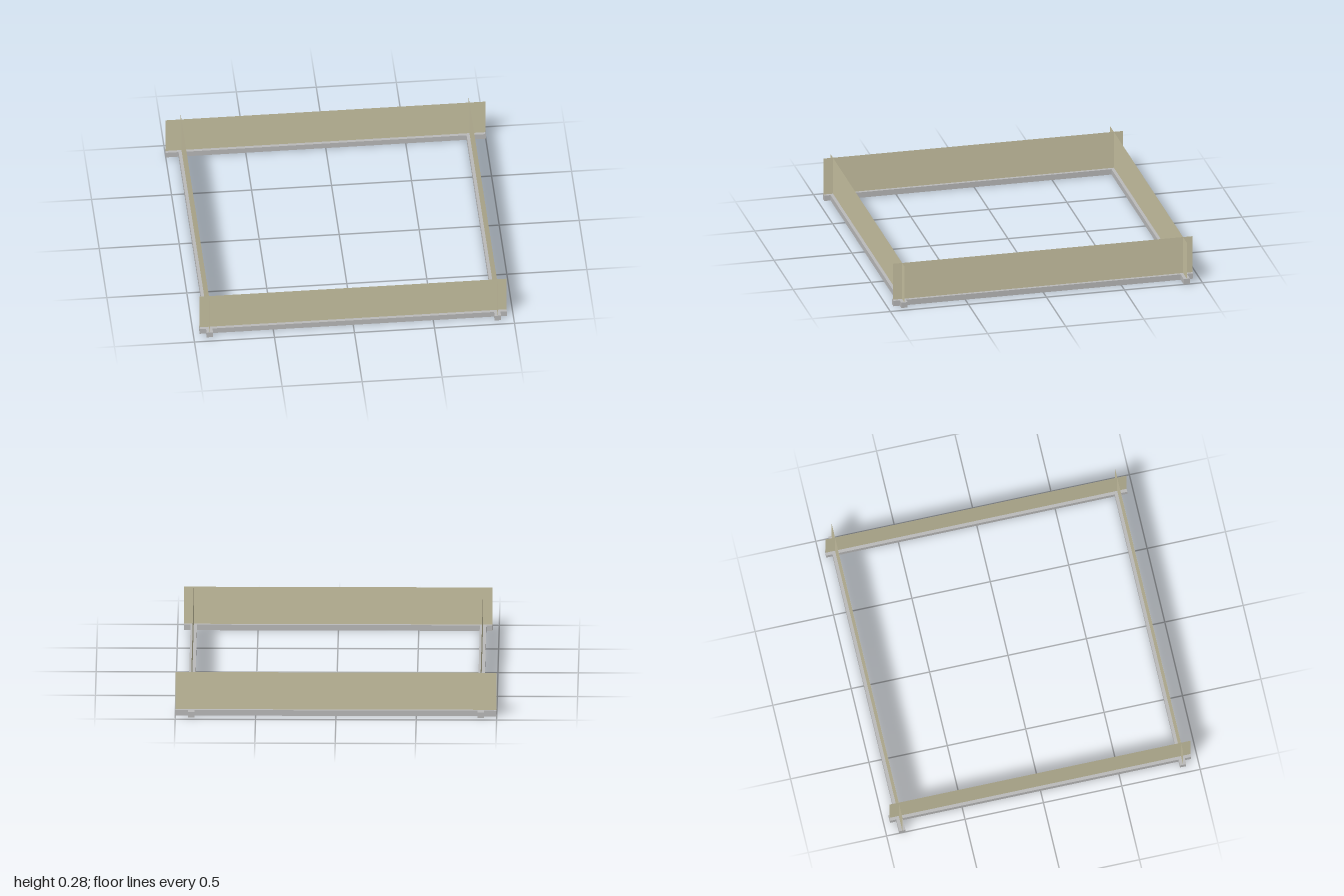
import * as THREE from 'three';

const BAR_W = 0.04, BAR_H = 0.036, TOP = 0.277, OFFSET = 0.9;

export function createModel() {
  const model = new THREE.Group();
  model.name = 'squareFrame';

  const grey = new THREE.MeshStandardMaterial({ color: 0xbababa });
  grey.name = 'greyRail';
  const tan = new THREE.MeshStandardMaterial({ color: 0xc9c3a3, side: THREE.DoubleSide });
  tan.name = 'tanPanel';

  // One side: a low rail with a thin upright sheet standing on its centre line
  function addSide(name, length, x, z, turn) {
    const side = new THREE.Group();
    side.name = name;

    const rail = new THREE.Mesh(new THREE.BoxGeometry(length, BAR_H, BAR_W), grey);
    rail.name = name + 'Rail';
    rail.position.y = BAR_H / 2;

    const panel = new THREE.Mesh(new THREE.PlaneGeometry(length, TOP - BAR_H), tan);
    panel.name = name + 'Panel';
    panel.position.y = (TOP + BAR_H) / 2;

    side.add(rail, panel);
    side.position.set(x, 0, z);
    side.rotation.y = turn;
    model.add(side);
  }

  // Sides cross and overhang at the corners; the back one is longest
  addSide('front', 1.92, 0, OFFSET, 0);
  addSide('back', 2, 0, -OFFSET, Math.PI);
  addSide('left', 1.92, OFFSET, 0, Math.PI / 2);
  addSide('right', 1.92, -OFFSET, 0, -Math.PI / 2);

  return model;
}
